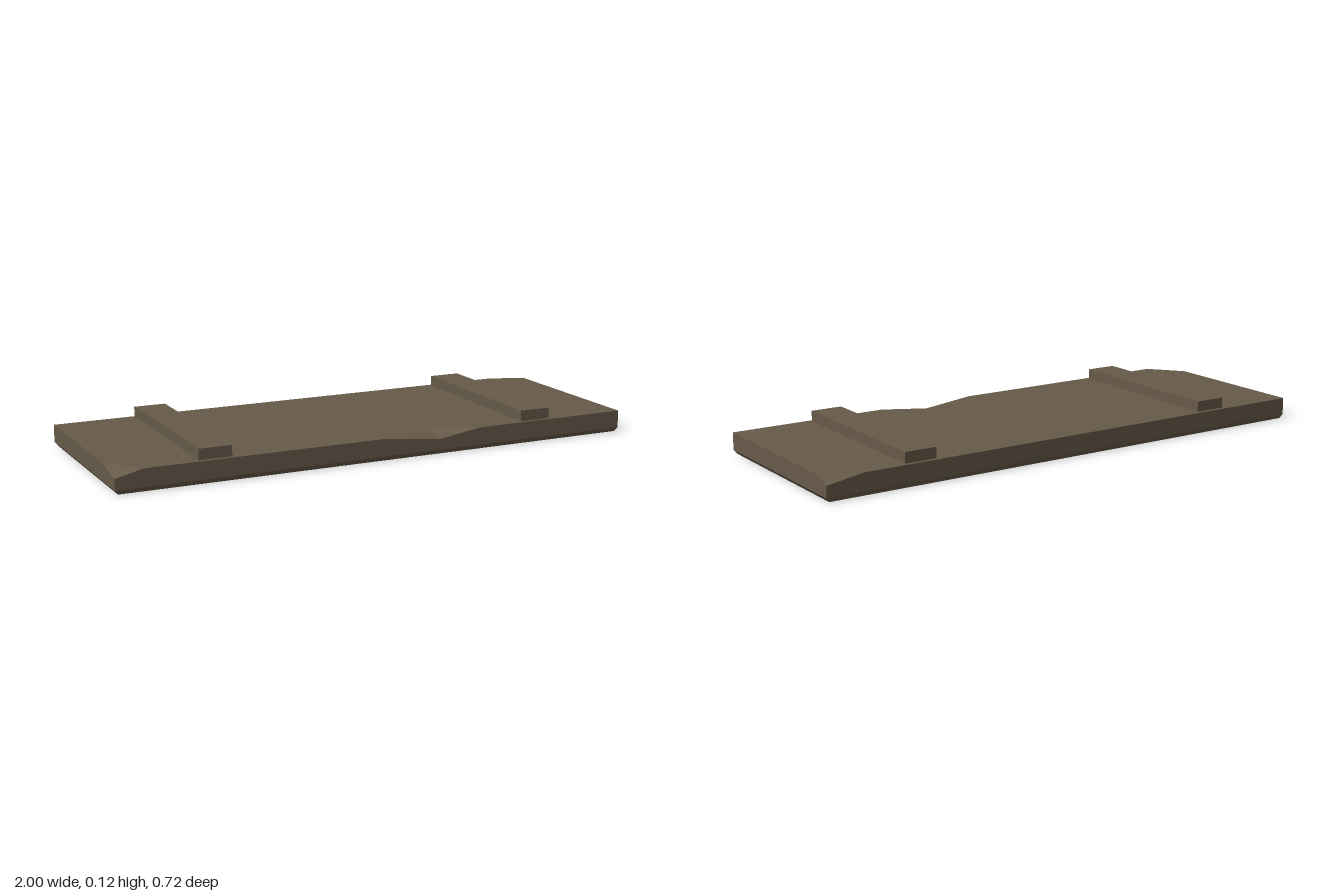
import * as THREE from 'three';

const wood = new THREE.MeshStandardMaterial({ color: 0x675a49 });
wood.name = 'weathered wood';

// Flat faces, each a fan from its first point, counter-clockwise from outside
function facesGeometry(faces) {
  const pos = [];
  for (const f of faces) {
    for (let i = 1; i < f.length - 1; i++) pos.push(...f[0], ...f[i], ...f[i + 1]);
  }
  const g = new THREE.BufferGeometry();
  g.setAttribute('position', new THREE.Float32BufferAttribute(pos, 3));
  g.computeVertexNormals();
  return g;
}

export function createModel() {
  const group = new THREE.Group();
  group.name = 'plankPanel';

  const X = 1, Z = 0.36, T = 0.08, C = 0.055;
  // Corner rings in order front left, front right, back right, back left (as seen from above)
  const ring = (x, y, z) => [[-x, y, z], [x, y, z], [x, y, -z], [-x, y, -z]];
  const base = ring(X - 0.012, 0, Z - 0.005);
  const low = ring(X, 0.015, Z);
  const top = ring(X, T, Z);

  // Chip in the front edge
  const dent = [0.22, T, 0.27], dentLow = [0.22, C, Z];
  const dentA = [0, T, Z], dentB = [0.39, T, Z];
  // Broken corners
  const a = [-X, T, 0.235], b = [-0.9, T, Z], c = [-X, C, Z];
  const d = [X, T, -0.31], e = [0.86, T, -Z], f = [X, C + 0.002, -Z];

  const faces = [
    [dent, dentB, top[1], d, e, top[3], a, b, dentA], // top
    [dentLow, dentA, b, c, low[0], low[1], top[1], dentB], // front
    [low[1], low[2], f, d, top[1]], // +x end
    [low[2], low[3], top[3], e, f], // back
    [low[3], low[0], c, a, top[3]], // -x end
    [dent, dentA, dentLow], [dent, dentLow, dentB], // edge chip
    [a, c, b], [d, f, e], // corner chips
    [base[0], base[3], base[2], base[1]], // underside
  ];
  // Bevel around the underside
  for (let i = 0; i < 4; i++) {
    const j = (i + 1) % 4;
    faces.push([base[i], base[j], low[j], low[i]]);
  }
  const slab = new THREE.Mesh(facesGeometry(faces), wood);
  slab.name = 'slab';
  group.add(slab);

  // Two crosswise battens, slightly askew
  for (const [name, x] of [['rightBatten', -0.637], ['leftBatten', 0.635]]) {
    const batten = new THREE.Mesh(new THREE.BoxGeometry(0.121, 0.05, 0.69), wood);
    batten.name = name;
    batten.position.set(x, 0.095, 0);
    batten.rotation.y = -0.008;
    group.add(batten);
  }
  return group;
}
